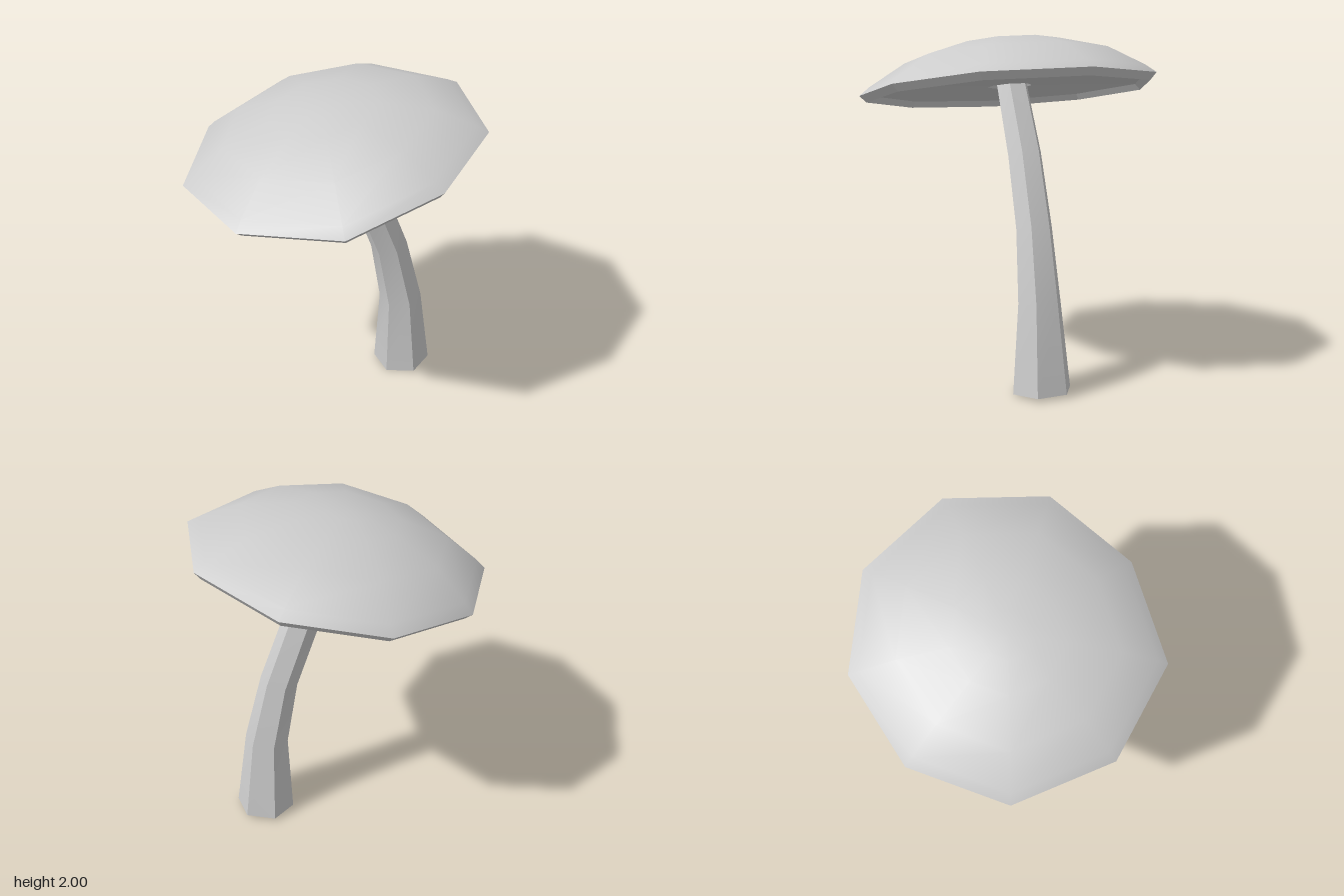
import * as THREE from 'three';
import { toCreasedNormals } from 'three/addons/utils/BufferGeometryUtils.js';

// Skin a list of rings (arrays of Vector3, same count) into one surface.
function loft(rings, crease) {
  const n = rings[0].length, index = [];
  for (let i = 0; i < rings.length - 1; i++) {
    for (let j = 0; j < n; j++) {
      const k = (j + 1) % n;
      const a = i * n + j, b = i * n + k, c = a + n, d = b + n;
      index.push(a, c, b, b, c, d);
    }
  }
  const g = new THREE.BufferGeometry().setFromPoints(rings.flat());
  g.setIndex(index);
  return toCreasedNormals(g, crease);
}

export function createModel() {
  const model = new THREE.Group();
  model.name = 'mushroom';
  const grey = new THREE.MeshStandardMaterial({ color: 0xcccccc, side: THREE.DoubleSide });
  grey.name = 'plain grey';

  const add = (name, geometry, parent) => {
    const mesh = new THREE.Mesh(geometry, grey);
    mesh.name = name;
    parent.add(mesh);
  };

  // Cap: nine-sided rim lying on a tilted plane
  const rim = [
    [-0.08, -0.83], [0.48, -0.71], [0.835, -0.26], [0.82, 0.33], [0.42, 0.765],
    [-0.15, 0.825], [-0.675, 0.565], [-0.84, -0.01], [-0.61, -0.575],
  ];
  const slopeX = 0.16, slopeZ = 0.1, planeY = 1.696;
  // A ring is the rim scaled by s and lifted by h along the plane's normal.
  const capRing = ([s, h]) => rim.map(([x, z]) => new THREE.Vector3(
    x * s - slopeX * h,
    planeY + slopeX * x * s + slopeZ * z * s + h,
    z * s - slopeZ * h,
  ));

  const cap = new THREE.Group();
  cap.name = 'cap';
  model.add(cap);

  const dome = [[1, 0], [0.93, 0.047], [0.69, 0.17], [0.36, 0.25], [0.15, 0.275], [0, 0.28]];
  add('capDome', loft(dome.map(capRing), 1.5), cap);

  // Underside runs from the stem socket out to the lip and up to the rim
  const under = [[0.1, 0.07], [0.15, 0.005], [0.92, -0.005], [0.955, -0.04], [1, 0]];
  add('capUnderside', loft(under.map(capRing), 0.4), cap);

  // Stem: bent, tapering, six-sided and open at the foot
  // [x, y, z, radius, tilt along x, tilt along z]
  const stemSections = [
    [0.44, 0.013, 0.258, 0.175, 0.06, 0.01],
    [0.412, 0.525, 0.248, 0.128, 0.1, 0.04],
    [0.335, 0.932, 0.2, 0.108, 0.2, 0.1],
    [0.205, 1.33, 0.122, 0.1, 0.38, 0.15],
    [0.03, 1.73, 0.025, 0.092, 0.28, 0.15],
    [0.01, 1.78, 0.01, 0.09, 0.28, 0.15],
  ];
  const stemRings = stemSections.map(([x, y, z, r, tx, tz]) =>
    Array.from({ length: 6 }, (_, j) => {
      const dx = r * Math.cos(j * Math.PI / 3), dz = r * Math.sin(j * Math.PI / 3);
      return new THREE.Vector3(x + dx, y + tx * dx + tz * dz, z + dz);
    }));
  add('stem', loft(stemRings, 0.6), model);

  return model;
}
